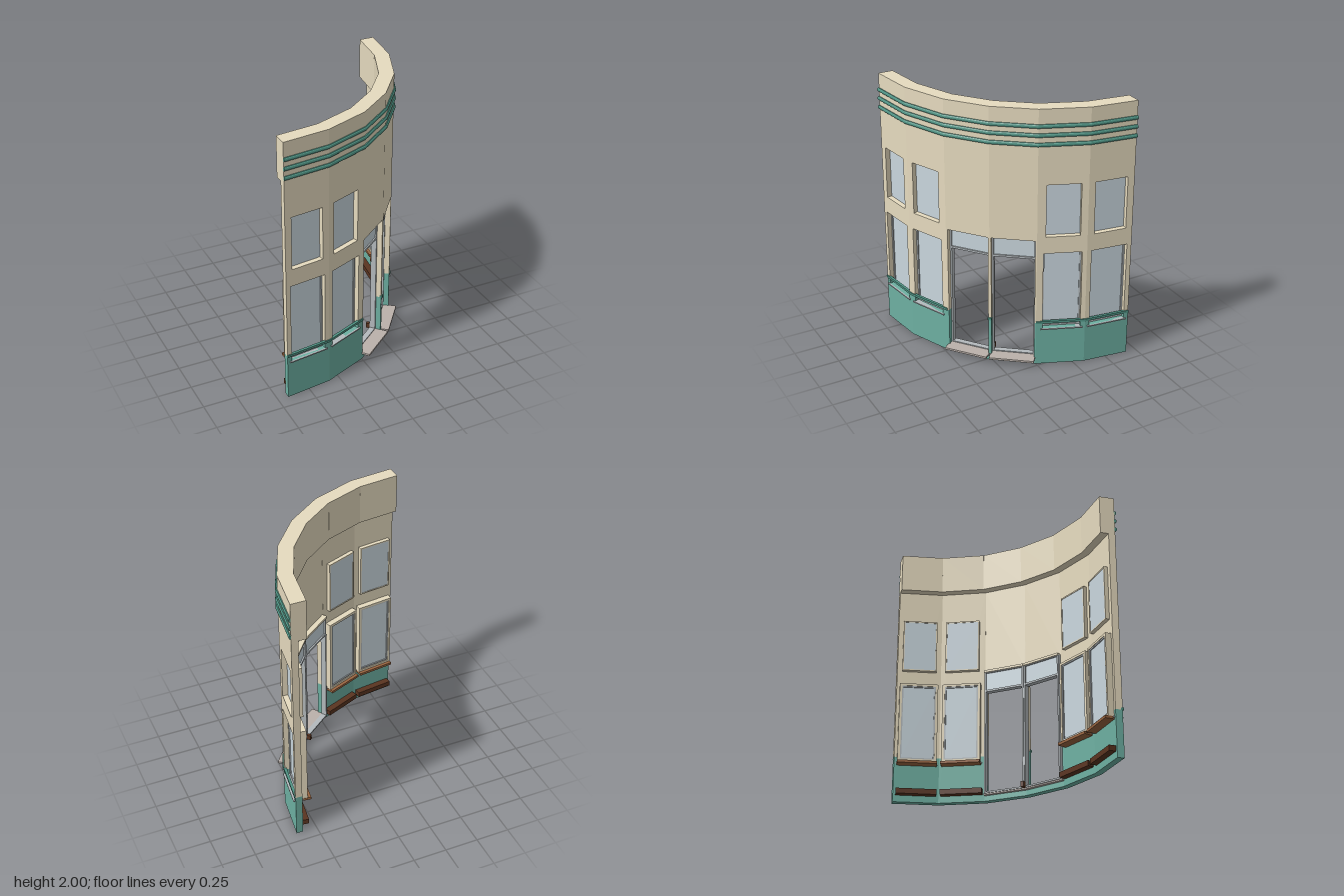
import * as THREE from 'three';

const mat = (name, color) => Object.assign(new THREE.MeshStandardMaterial({ color }), { name });
const M = {
  wall: mat('beige plaster', 0xe6dbbf),
  base: mat('green base', 0x6db0a2),
  trim: mat('green trim', 0x509485),
  glass: mat('pale glass', 0xcad7de),
  frame: mat('grey frame', 0xb4babd),
  wood: mat('brown wood', 0x9a6641),
  skirting: mat('dark brown wood', 0x5a3420),
  stone: mat('grey stone', 0xbbb1ab),
};

// Plan of the curved wall: outer and inner corners as [x, z]
const OUT = [[-0.672, 0.655], [-0.33, 0.61], [0, 0.475], [0.267, 0.267], [0.475, 0], [0.61, -0.33], [0.655, -0.672]];
const INN = [[-0.672, 0.545], [-0.36, 0.5], [-0.06, 0.38], [0.19, 0.19], [0.38, -0.06], [0.5, -0.36], [0.545, -0.672]];
// The top band is thick, the wall below it is a thin skin
const BAND = 0.11, SKIN = 0.05;
const BASE_TOP = 0.345, BAND_Y = 1.7, HEIGHT = 2;

// Cross-sections of the mouldings as [depth, height]
const ROUNDED = [[0.005, -0.014], [-0.007, -0.014], [-0.013, -0.008], [-0.015, 0], [-0.013, 0.008], [-0.007, 0.014], [0.005, 0.014]];
const SQUARE = [[0.012, -0.009], [-0.008, -0.009], [-0.008, 0.009], [0.012, 0.009]];

// Moulding: a cross-section swept along the wall corners from..to
function moulding(name, from, to, y, profile) {
  const verts = [], n = profile.length;
  const point = (i, [d, h]) => {
    const t = d / BAND, [ox, oz] = OUT[i], [ix, iz] = INN[i];
    return [ox + (ix - ox) * t, y + h, oz + (iz - oz) * t];
  };
  for (let i = from; i < to; i++) {
    for (let k = 0; k < n; k++) {
      const p = profile[k], q = profile[(k + 1) % n];
      const a = point(i, p), b = point(i + 1, p), c = point(i + 1, q), d = point(i, q);
      verts.push(...a, ...b, ...c, ...a, ...c, ...d);
    }
  }
  for (let k = 1; k < n - 1; k++) {
    verts.push(...point(from, profile[0]), ...point(from, profile[k]), ...point(from, profile[k + 1]));
    verts.push(...point(to, profile[0]), ...point(to, profile[k + 1]), ...point(to, profile[k]));
  }
  const geo = new THREE.BufferGeometry();
  geo.setAttribute('position', new THREE.Float32BufferAttribute(verts, 3));
  geo.computeVertexNormals();
  const mesh = new THREE.Mesh(geo, M.trim);
  mesh.name = name;
  return mesh;
}

// Box in a bay's own frame: u along the wall, d inwards
function box(name, u0, u1, y0, y1, d0, d1, material) {
  const mesh = new THREE.Mesh(new THREE.BoxGeometry(u1 - u0, y1 - y0, d1 - d0), material);
  mesh.position.set((u0 + u1) / 2, (y0 + y1) / 2, -(d0 + d1) / 2);
  mesh.name = name;
  return mesh;
}

// Four bars around an opening, w wide
function ring(name, u0, u1, y0, y1, w, d0, d1, material) {
  const g = new THREE.Group();
  g.name = name;
  g.add(
    box('leftBar', u0, u0 + w, y0, y1, d0, d1, material),
    box('rightBar', u1 - w, u1, y0, y1, d0, d1, material),
    box('bottomBar', u0 + w, u1 - w, y0, y0 + w, d0, d1, material),
    box('topBar', u0 + w, u1 - w, y1 - w, y1, d0, d1, material),
  );
  return g;
}

// Wall slab with mitred ends; bottom and top notches are [u0, u1, y], hole is [u0, u1, y0, y1]
function slab(name, bay, y0, y1, thick, material, { bottom, top, hole } = {}) {
  const L = bay.length, p = [[0, y0]];
  if (bottom) p.push([bottom[0], y0], [bottom[0], bottom[2]], [bottom[1], bottom[2]], [bottom[1], y0]);
  p.push([L, y0], [L, y1]);
  if (top) p.push([top[1], y1], [top[1], top[2]], [top[0], top[2]], [top[0], y1]);
  p.push([0, y1]);
  const vec = (q) => q.map(([x, y]) => new THREE.Vector2(x, y));
  const shape = new THREE.Shape(vec(p));
  if (hole) {
    const [a, b, c, d] = hole;
    shape.holes.push(new THREE.Path(vec([[a, c], [a, d], [b, d], [b, c]])));
  }
  const geo = new THREE.ExtrudeGeometry(shape, { depth: thick, bevelEnabled: false });
  geo.translate(0, 0, -thick);
  const pos = geo.attributes.position;
  for (let i = 0; i < pos.count; i++) {
    const x = pos.getX(i);
    const m = x < 1e-5 ? bay.mitre[0] : x > L - 1e-5 ? bay.mitre[1] : 0;
    pos.setX(i, x - m * pos.getZ(i));
  }
  geo.computeVertexNormals();
  const mesh = new THREE.Mesh(geo, material);
  mesh.name = name;
  return mesh;
}

function makeBay(i) {
  const [ax, az] = OUT[i], [bx, bz] = OUT[i + 1];
  const L = Math.hypot(bx - ax, bz - az), ux = (bx - ax) / L, uz = (bz - az) / L;
  const mitre = [i, i + 1].map((k) => {
    const dx = INN[k][0] - OUT[k][0], dz = INN[k][1] - OUT[k][1];
    return (dx * ux + dz * uz) / (dx * uz - dz * ux);
  });
  const group = new THREE.Group();
  group.position.set(ax, 0, az);
  group.rotation.y = Math.atan2(-uz, ux);
  return { group, length: L, mitre };
}

// Bay with a shop window below and a smaller window above
function windowBay(i) {
  const bay = makeBay(i), g = bay.group;
  g.name = 'windowBay';
  const c = bay.length / 2 + (i === 1 ? -0.006 : i === 4 ? 0.006 : 0);
  const a = c - 0.138, b = c + 0.138, p = c - 0.122, q = c + 0.122;
  g.add(
    slab('base', bay, 0, BASE_TOP, SKIN, M.base, { top: [a, b, 0.3] }),
    slab('wall', bay, BASE_TOP, BAND_Y, SKIN, M.wall, { bottom: [a, b, 0.91], hole: [p, q, 1.04, 1.44] }),
    slab('topBand', bay, BAND_Y, HEIGHT, BAND, M.wall),
    // Lower window
    ring('lowerCasing', a - 0.006, b + 0.006, 0.3, 0.918, 0.018, 0.045, 0.095, M.wall),
    ring('lowerFrame', a, b, 0.3, 0.91, 0.012, 0.035, 0.046, M.frame),
    ring('innerFrame', a + 0.012, b - 0.012, 0.318, 0.9, 0.01, 0.046, 0.09, M.frame),
    box('lowerGlass', a + 0.01, b - 0.01, 0.305, 0.902, 0.044, 0.082, M.glass),
    box('outerSill', a - 0.015, b + 0.015, 0.291, 0.3, -0.012, 0.06, M.frame),
    box('innerSill', a - 0.008, b + 0.008, 0.28, 0.3, 0.045, 0.12, M.wood),
    // Upper window
    ring('upperCasing', p - 0.007, q + 0.007, 1.033, 1.447, 0.01, 0.045, 0.08, M.wall),
    box('upperGlass', p, q, 1.04, 1.44, 0.038, 0.077, M.glass),
    // Skirting inside
    box('skirting', 0.025, bay.length - 0.025, 0.05, 0.09, 0.045, 0.1, M.skirting),
  );
  return g;
}

// Open doorway with a glazed transom and a step
function doorBay(i) {
  const bay = makeBay(i), g = bay.group, L = bay.length;
  g.name = 'doorBay';
  const a = 0.012, b = L - 0.012;
  g.add(
    slab('base', bay, 0, BASE_TOP, SKIN, M.base, { top: [a, b, 0.045] }),
    slab('wall', bay, BASE_TOP, BAND_Y, SKIN, M.wall, { bottom: [a, b, 1.01] }),
    slab('topBand', bay, BAND_Y, HEIGHT, BAND, M.wall),
    ring('doorFrame', a, b, 0.05, 1.01, 0.012, 0.04, 0.082, M.frame),
    box('transomBar', a, b, 0.845, 0.86, 0.04, 0.082, M.frame),
    box('transomGlass', a + 0.01, b - 0.01, 0.858, 1.0, 0.05, 0.07, M.glass),
    box('headCasing', a, b, 1.002, 1.02, 0.045, 0.09, M.wall),
    box('doorStep', 0.002, L - 0.006, 0.04, 0.055, -0.06, 0.075, M.stone),
  );
  return g;
}

export function createModel() {
  const model = new THREE.Group();
  model.name = 'curvedShopfront';
  for (let i = 0; i < 6; i++) model.add(i === 2 || i === 3 ? doorBay(i) : windowBay(i));

  // Three mouldings round the top
  for (const y of [1.743, 1.811, 1.877]) model.add(moulding('topMoulding', 0, 6, y, ROUNDED));
  // Rail above the base, broken by the doorways
  for (const [from, to] of [[0, 2], [4, 6]]) model.add(moulding('baseRail', from, to, 0.351, SQUARE));

  // Rail and skirting on the post between the doorways
  const post = new THREE.Group();
  post.name = 'middlePost';
  post.position.set(OUT[3][0], 0, OUT[3][1]);
  post.rotation.y = Math.PI / 4;
  post.add(
    box('postRail', -0.014, 0.014, 0.342, 0.36, -0.008, 0.012, M.trim),
    box('postSkirting', -0.012, 0.012, 0.05, 0.09, 0.05, 0.115, M.skirting),
  );
  model.add(post);
  return model;
}
